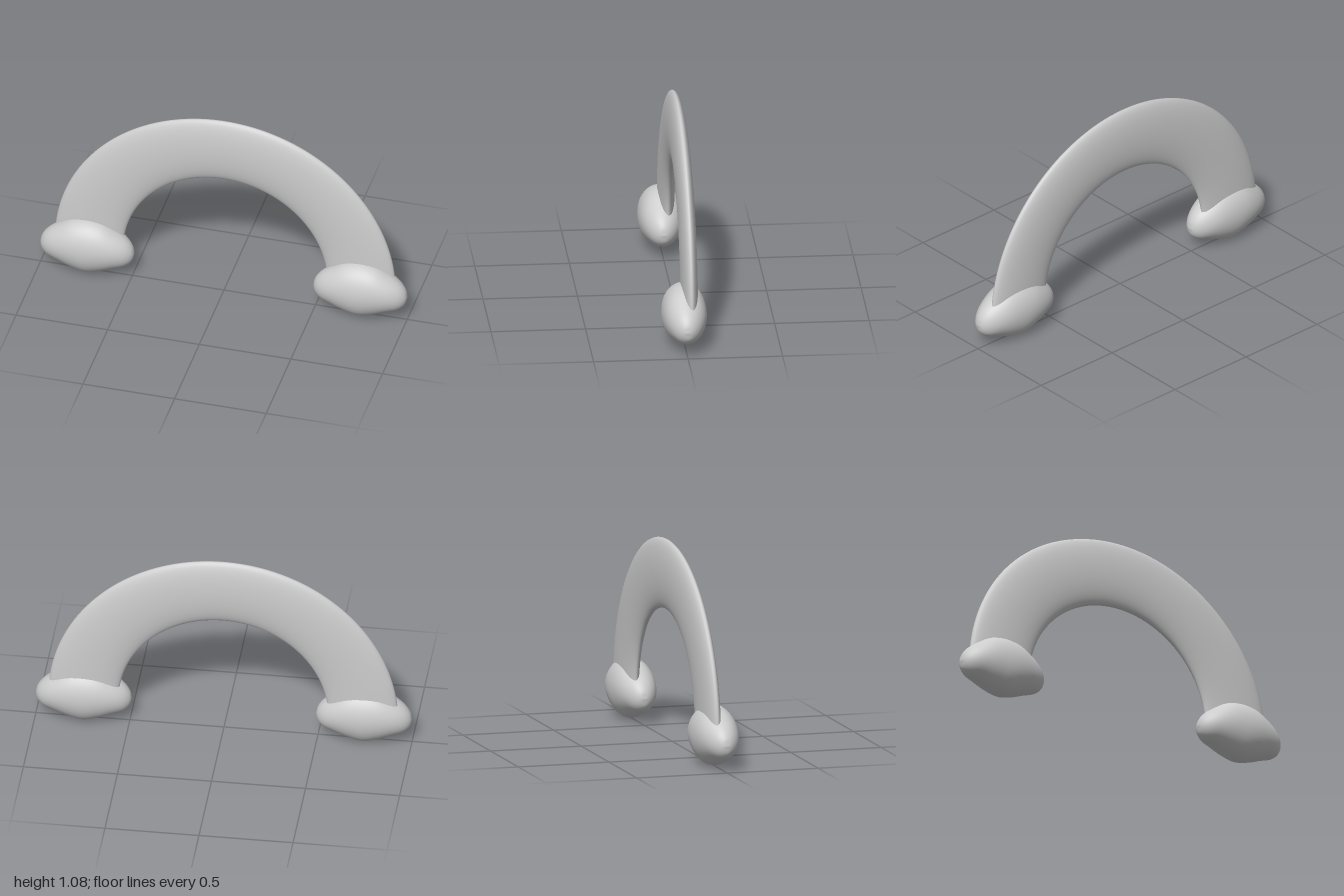
import * as THREE from 'three';
import { mergeVertices } from 'three/addons/utils/BufferGeometryUtils.js';

// Half of the cloud outline: distance from its middle, top height, bottom height
const OUTLINE = [
  [0, 0.326, 0.002], [0.08, 0.313, 0.02], [0.15, 0.274, 0.047],
  [0.215, 0.225, 0.071], [0.245, 0.184, 0.102], [0.255, 0.144, 0.144],
];
const HALF_LENGTH = 0.255;
const HALF_DEPTH = 0.119;

// Puffy cloud lofted from elliptical sections along x
function cloudGeometry() {
  const half = OUTLINE.map(([x, t, b]) => new THREE.Vector3(x, t, b));
  const mirrored = half.slice(1).reverse().map((p) => new THREE.Vector3(-p.x, p.y, p.z));
  const curve = new THREE.CatmullRomCurve3([...mirrored, ...half]);
  const sections = 64, sides = 48;
  const positions = [], index = [];
  for (let i = 0; i <= sections; i++) {
    const p = curve.getPoint(i / sections);
    const u = Math.min(1, Math.abs(p.x) / HALF_LENGTH);
    const depth = HALF_DEPTH * Math.sqrt(1 - u * u);
    const middle = (p.y + p.z) / 2, height = (p.y - p.z) / 2;
    for (let j = 0; j < sides; j++) {
      const a = (j / sides) * Math.PI * 2;
      positions.push(p.x, middle + height * Math.cos(a), depth * Math.sin(a));
      if (i === sections) continue;
      const k = (j + 1) % sides;
      const a0 = i * sides + j, a1 = i * sides + k;
      index.push(a0, a1, a0 + sides, a1, a1 + sides, a0 + sides);
    }
  }
  const geometry = new THREE.BufferGeometry();
  geometry.setAttribute('position', new THREE.Float32BufferAttribute(positions, 3));
  geometry.setIndex(index);
  const welded = mergeVertices(geometry, 1e-5);
  welded.computeVertexNormals();
  return welded;
}

export function createModel() {
  const group = new THREE.Group();
  group.name = 'rainbowWithClouds';
  const lightGrey = new THREE.MeshStandardMaterial({ color: 0xcccccc });
  lightGrey.name = 'lightGrey';

  // Flattened half ring, set slightly behind the middle of the clouds
  const arch = new THREE.Mesh(new THREE.TorusGeometry(0.743, 0.187, 40, 96, Math.PI), lightGrey);
  arch.name = 'rainbowArch';
  arch.scale.z = 0.235;
  arch.position.set(0, 0.155, -0.028);
  group.add(arch);

  // A cloud over each foot of the arch
  const cloud = cloudGeometry();
  for (const [name, side] of [['leftCloud', 1], ['rightCloud', -1]]) {
    const mesh = new THREE.Mesh(cloud, lightGrey);
    mesh.name = name;
    mesh.position.x = side * 0.745;
    group.add(mesh);
  }
  return group;
}
